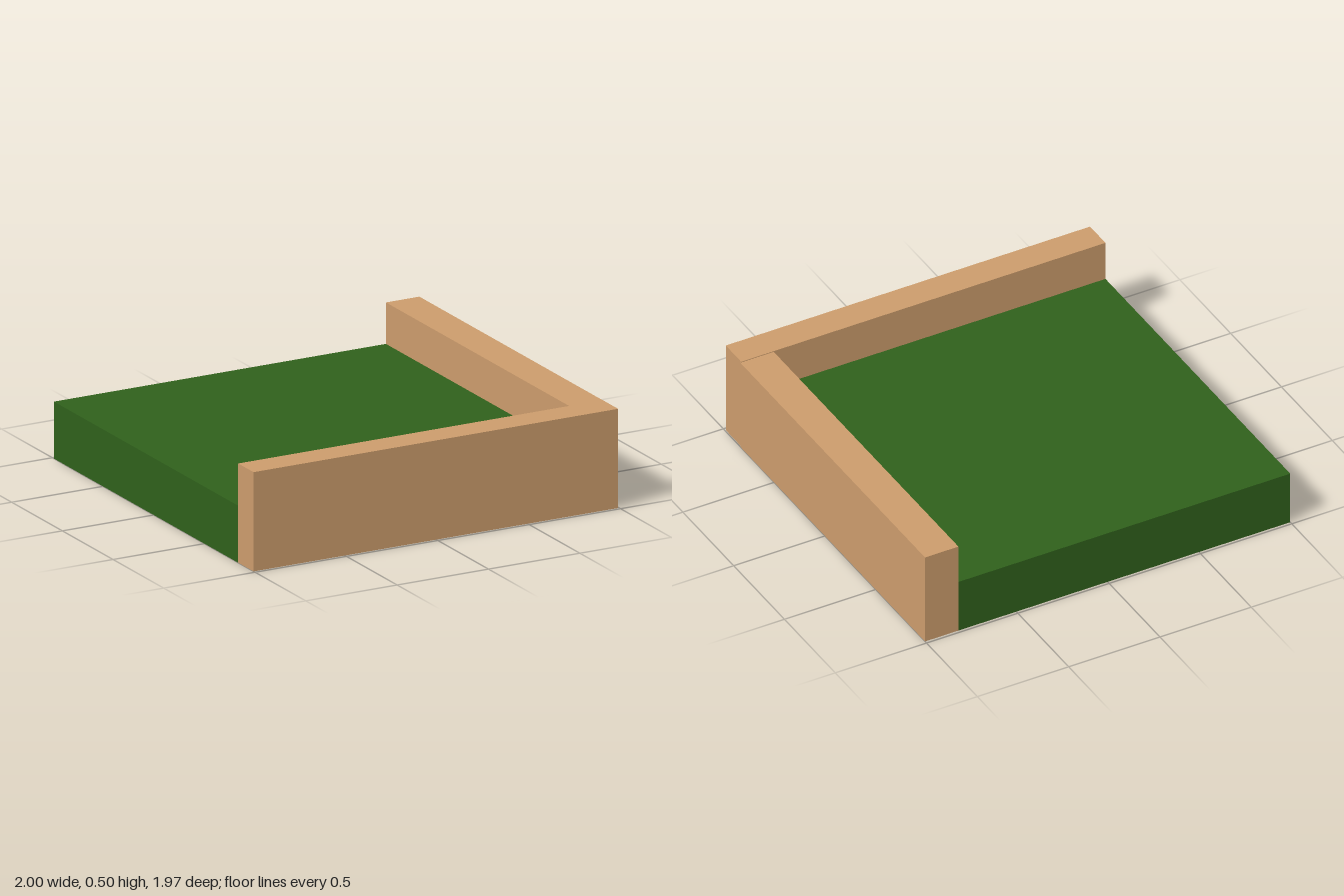
import * as THREE from 'three';

const wood = new THREE.MeshStandardMaterial({ color: 0xcc9c6c });
const grass = new THREE.MeshStandardMaterial({ color: 0x2f601b });

// Box given by its minimum and maximum corners
function block(name, material, [x0, y0, z0], [x1, y1, z1]) {
  const mesh = new THREE.Mesh(new THREE.BoxGeometry(x1 - x0, y1 - y0, z1 - z0), material);
  mesh.name = name;
  mesh.position.set((x0 + x1) / 2, (y0 + y1) / 2, (z0 + z1) / 2);
  return mesh;
}

export function createModel() {
  const model = new THREE.Group();
  model.name = 'cornerPlanter';
  model.add(
    // Planted bed, open on the back and right
    block('grassBed', grass, [-1, 0, -0.985], [0.817, 0.287, 0.833]),
    // Long front wall, a hair taller than the side wall
    block('frontWall', wood, [-1, 0, 0.833], [0.995, 0.5, 0.985]),
    // Side wall, butted against the front wall
    block('leftWall', wood, [0.817, 0, -0.985], [1, 0.496, 0.833])
  );
  return model;
}
